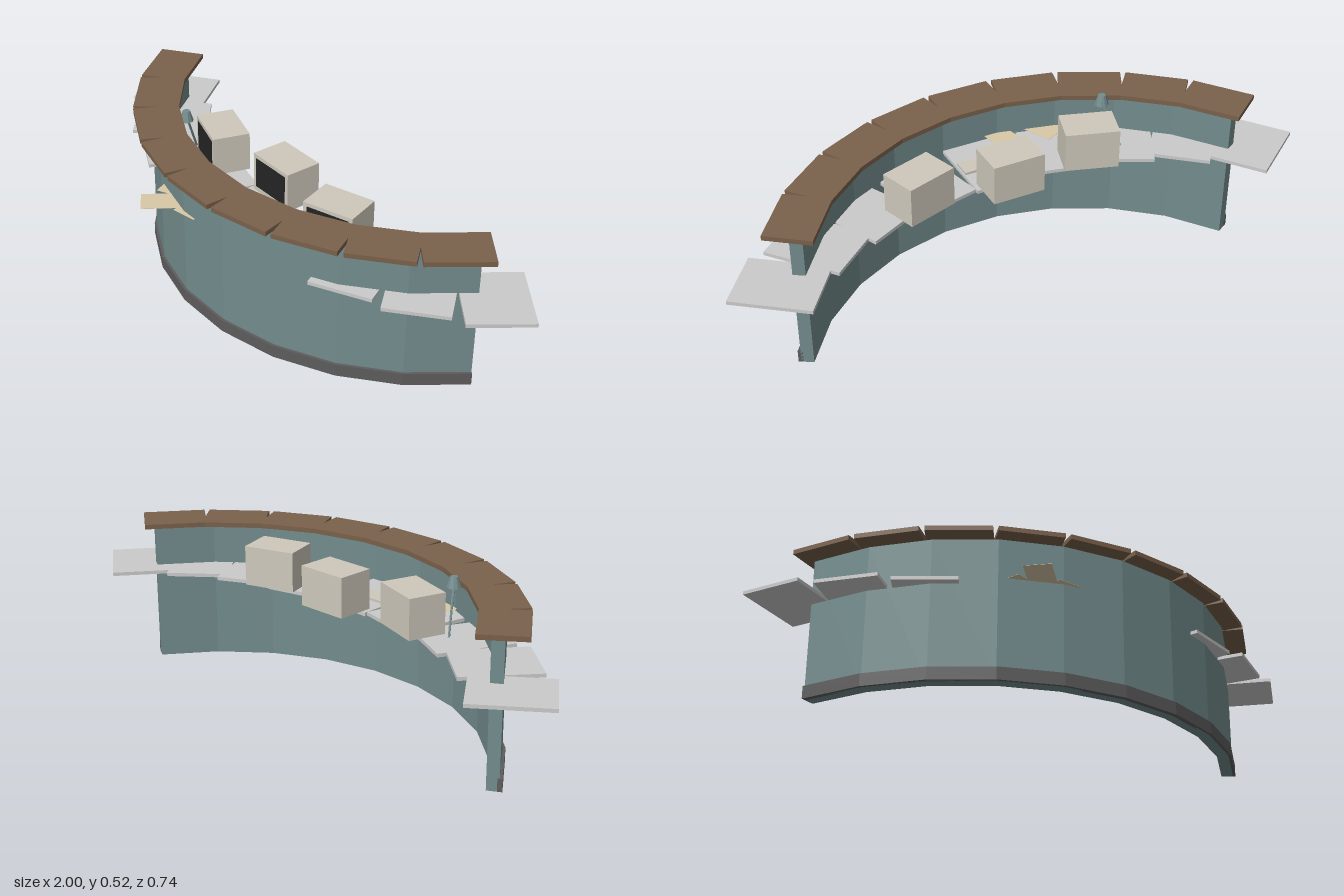
import * as THREE from 'three';

const STEP = THREE.MathUtils.degToRad(40 / 3); // angle of one desk section
const mat = (color) => new THREE.MeshStandardMaterial({ color, flatShading: true });
const wallMat = mat(0x738c8d), baseMat = mat(0x5e5c5c), woodMat = mat(0x7a614b);
const deskMat = mat(0xcccccc), beigeMat = mat(0xcfc9bc), screenMat = mat(0x242424);
const paperMat = mat(0xd8c9a6);
paperMat.side = THREE.DoubleSide;

function add(parent, name, geometry, material, x = 0, y = 0, z = 0, turn = 0) {
  const mesh = new THREE.Mesh(geometry, material);
  mesh.name = name;
  mesh.position.set(x, y, z);
  mesh.rotation.y = turn;
  parent.add(mesh);
  return mesh;
}

// Faceted arc of nine straight sections, standing on y = 0
function arcWall(inner, outer, height, zc) {
  const pts = [];
  const at = (r, i) => new THREE.Vector2(r * Math.sin((i - 4.5) * STEP), -(zc + r * Math.cos((i - 4.5) * STEP)));
  for (let i = 0; i <= 9; i++) pts.push(at(outer, i));
  for (let i = 9; i >= 0; i--) pts.push(at(inner, i));
  const geo = new THREE.ExtrudeGeometry(new THREE.Shape(pts), { depth: height, bevelEnabled: false });
  return geo.rotateX(-Math.PI / 2);
}

export function createModel() {
  const model = new THREE.Group();
  model.name = 'receptionDesk';

  // Curved front wall and its plinth
  add(model, 'frontWall', arcWall(0.867, 0.907, 0.486, -0.642), wallMat);
  add(model, 'plinth', arcWall(0.9, 0.916, 0.043, -0.642), baseMat);

  // Counter top: nine boards fanned along the wall
  const counter = new THREE.Group();
  counter.name = 'counterTop';
  model.add(counter);
  for (let i = -4; i <= 4; i++) {
    const a = i * STEP;
    add(counter, 'counterBoard', new THREE.BoxGeometry(0.214, 0.016, 0.156), woodMat,
      0.918 * Math.sin(a), 0.494, -0.681 + 0.918 * Math.cos(a), a);
  }

  // Work surface: boards given by their far outer corner, mirrored
  const desk = new THREE.Group();
  desk.name = 'workSurface';
  model.add(desk);
  const width = 0.21, depth = 0.261;
  const corners = [[0.105, 0.213], [0.37, 0.168], [0.618, 0.085], [0.825, -0.042], [1.0, -0.217]];
  corners.forEach(([cx, cz], i) => {
    const a = i * STEP, s = Math.sin(a), c = Math.cos(a);
    const x = cx - (width / 2) * c - (depth / 2) * s;
    const z = cz + (width / 2) * s - (depth / 2) * c;
    for (const side of i ? [1, -1] : [1]) {
      add(desk, 'deskBoard', new THREE.BoxGeometry(width, 0.012, depth), deskMat, side * x, 0.336, z, side * a);
    }
  });

  // Monitors with screens facing the counter
  for (const [x, z, a] of [[0, -0.075, 0], [0.305, -0.043, 0.31], [-0.305, -0.043, -0.31]]) {
    const monitor = new THREE.Group();
    monitor.name = 'monitor';
    monitor.position.set(x, 0.342, z);
    monitor.rotation.y = a;
    add(monitor, 'monitorCase', new THREE.BoxGeometry(0.18, 0.136, 0.128), beigeMat, 0, 0.068, 0);
    add(monitor, 'screen', new THREE.BoxGeometry(0.15, 0.105, 0.004), screenMat, 0, 0.07, 0.064);
    model.add(monitor);
  }
  add(model, 'keyboard', new THREE.BoxGeometry(0.2, 0.008, 0.064), beigeMat, 0, 0.346, 0.082);

  // Loose sheets of paper
  for (const [x, z, a] of [[-0.25, 0.18, 0.45], [-0.2, 0.285, -0.6], [-0.1, 0.21, 0.2]]) {
    add(model, 'paperSheet', new THREE.BoxGeometry(0.09, 0.001, 0.13), paperMat, x, 0.351, z, a);
  }

  // Small desk lamp on a leaning stem
  const lamp = new THREE.Group();
  lamp.name = 'deskLamp';
  model.add(lamp);
  const stem = new THREE.LineCurve3(new THREE.Vector3(-0.44, 0.342, -0.025), new THREE.Vector3(-0.4, 0.495, 0.04));
  add(lamp, 'lampStem', new THREE.TubeGeometry(stem, 1, 0.004, 6), wallMat);
  add(lamp, 'lampShade', new THREE.CylinderGeometry(0.013, 0.024, 0.035, 10), wallMat, -0.4, 0.498, 0.04);

  return model;
}
